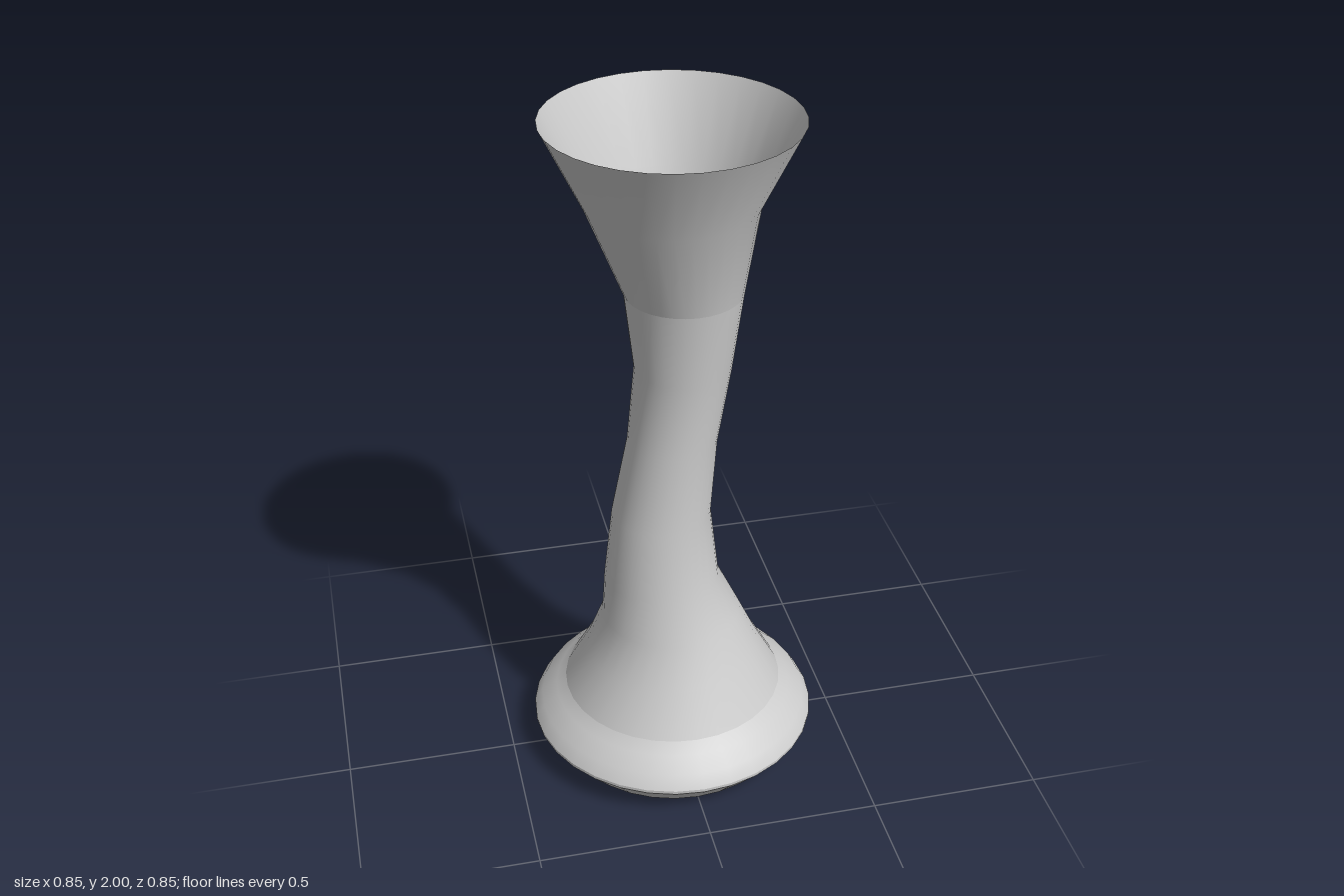
import * as THREE from 'three';

const SIDES = 32;
const material = new THREE.MeshStandardMaterial({ color: 0xcccccc, side: THREE.DoubleSide });

// Smooth tube through horizontal rings [height, radius, sideways shift], bottom to top
function ringTube(name, rings) {
  const positions = [], index = [];
  for (const [y, r, shift = 0] of rings) {
    for (let j = 0; j < SIDES; j++) {
      const a = (j / SIDES) * Math.PI * 2;
      positions.push(shift + r * Math.sin(a), y, r * Math.cos(a));
    }
  }
  for (let i = 0; i < rings.length - 1; i++) {
    for (let j = 0; j < SIDES; j++) {
      const k = (j + 1) % SIDES;
      const a = i * SIDES + j, b = i * SIDES + k;
      index.push(a, b, b + SIDES, a, b + SIDES, a + SIDES);
    }
  }
  const geometry = new THREE.BufferGeometry();
  geometry.setAttribute('position', new THREE.Float32BufferAttribute(positions, 3));
  geometry.setIndex(index);
  geometry.computeVertexNormals();
  const mesh = new THREE.Mesh(geometry, material);
  mesh.name = name;
  return mesh;
}

export function createModel() {
  const group = new THREE.Group();
  group.name = 'vase';

  // Rounded hollow foot, open underneath, with a thin band at its widest
  group.add(ringTube('footUnderside', [[0, 0.347], [0.045, 0.385], [0.09, 0.424]]));
  group.add(ringTube('footBand', [[0.09, 0.424], [0.1, 0.424]]));
  group.add(ringTube('footShoulder', [[0.1, 0.424], [0.14, 0.4], [0.175, 0.355], [0.205, 0.326]]));

  // Swaying stem
  group.add(ringTube('stem', [
    [0.205, 0.326], [0.33, 0.257], [0.455, 0.204, -0.005], [0.59, 0.168, -0.033],
    [0.81, 0.143, -0.033], [1.05, 0.128, 0], [1.28, 0.136, 0.03], [1.51, 0.164, 0.032],
  ]));

  // Flared open cup and the floor that closes it off from the stem
  group.add(ringTube('cup', [[1.51, 0.164, 0.032], [1.77, 0.235, 0], [2, 0.346, 0]]));
  const floor = new THREE.Mesh(new THREE.CircleGeometry(0.164, SIDES), material);
  floor.name = 'cupFloor';
  floor.rotation.x = -Math.PI / 2;
  floor.position.set(0.032, 1.51, 0);
  group.add(floor);

  return group;
}
